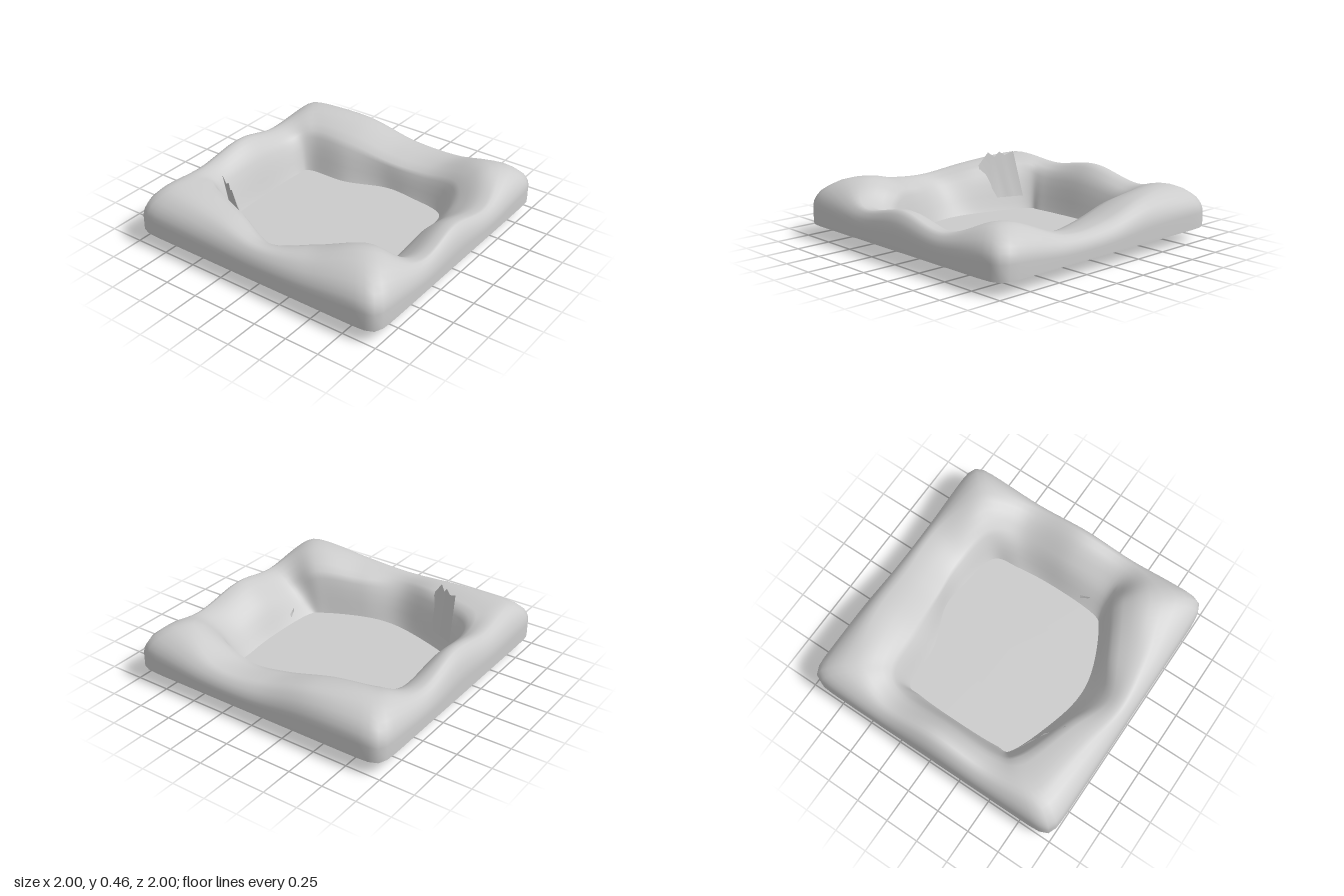
import * as THREE from 'three';

const SEG = 144;
const BASE = 0.094;
const FLOOR = 0.025;
const { lerp } = THREE.MathUtils;

// Sixteen stations round the pit, from +x towards +z:
// [lip x, lip y, lip z, floor x, floor z, crest height, crest place from edge (0) to lip (1)]
const STATIONS = [
  [0.62, 0.22, 0.0, 0.57, 0.0, 0.28, 0.3],
  [0.65, 0.21, 0.28, 0.56, 0.23, 0.272, 0.28],
  [0.59, 0.27, 0.59, 0.50, 0.51, 0.39, 0.55],
  [0.38, 0.20, 0.72, 0.30, 0.56, 0.285, 0.28],
  [0.0, 0.24, 0.72, 0.0, 0.58, 0.35, 0.3],
  [-0.37, 0.21, 0.74, -0.35, 0.56, 0.295, 0.28],
  [-0.49, 0.33, 0.58, -0.45, 0.48, 0.43, 0.6],
  [-0.66, 0.29, 0.28, -0.57, 0.22, 0.35, 0.45],
  [-0.80, 0.27, 0.0, -0.61, 0.0, 0.312, 0.45],
  [-0.69, 0.33, -0.32, -0.57, -0.25, 0.36, 0.5],
  [-0.55, 0.35, -0.69, -0.44, -0.61, 0.39, 0.5],
  [-0.38, 0.30, -0.77, -0.32, -0.65, 0.35, 0.45],
  [0.0, 0.31, -0.77, 0.0, -0.66, 0.40, 0.45],
  [0.38, 0.26, -0.76, 0.32, -0.65, 0.315, 0.4],
  [0.54, 0.31, -0.66, 0.44, -0.61, 0.385, 0.55],
  [0.58, 0.29, -0.36, 0.46, -0.30, 0.37, 0.35],
];

const loop = (pick) => new THREE.CatmullRomCurve3(
  STATIONS.map((s) => new THREE.Vector3(...pick(s))), true, 'catmullrom', 0.5);
const lipCurve = loop((s) => [s[0], s[1], s[2]]);
const floorCurve = loop((s) => [s[3], FLOOR, s[4]]);
const crestCurve = loop((s) => [s[6], s[5], 0]); // x: place, y: height

// Rounded square outline at a given turn
function outline(u) {
  const c = Math.cos(u * 2 * Math.PI), s = Math.sin(u * 2 * Math.PI);
  const n = 22;
  const r = Math.pow(Math.abs(c) ** n + Math.abs(s) ** n, -1 / n);
  return new THREE.Vector3(c * r, BASE, s * r);
}

// Joins rings (ordered from the centre outwards) into one smooth sheet
function sheet(name, rings, material) {
  const pos = [], idx = [];
  rings.forEach((ring) => {
    for (let j = 0; j < SEG; j++) pos.push(...ring(j / SEG).toArray());
  });
  for (let i = 0; i < rings.length - 1; i++) {
    for (let j = 0; j < SEG; j++) {
      const k = (j + 1) % SEG;
      const a = i * SEG + j, b = i * SEG + k;
      idx.push(a, b, a + SEG, b, b + SEG, a + SEG);
    }
  }
  return finish(name, pos, idx, material);
}

// Thin ragged strip between two rows of points
function strip(name, low, high, material) {
  const pos = [...low, ...high].flat(), idx = [], n = low.length;
  for (let i = 0; i < n - 1; i++) idx.push(i, i + 1, n + i, i + 1, n + i + 1, n + i);
  return finish(name, pos, idx, material);
}

function finish(name, pos, idx, material) {
  const g = new THREE.BufferGeometry();
  g.setAttribute('position', new THREE.Float32BufferAttribute(pos, 3));
  g.setIndex(idx);
  g.computeVertexNormals();
  const mesh = new THREE.Mesh(g, material);
  mesh.name = name;
  return mesh;
}

export function createModel() {
  const group = new THREE.Group();
  group.name = 'sunkenPit';
  const mat = new THREE.MeshStandardMaterial({ color: 0xcccccc, side: THREE.DoubleSide });

  // Flat pit floor
  const floorRing = (k) => (u) => {
    const p = floorCurve.getPoint(u);
    return new THREE.Vector3(p.x * k, FLOOR, p.z * k);
  };
  group.add(sheet('pitFloor', [0, 0.5, 1].map(floorRing), mat));

  // Steep pit wall, from the floor up to the lip: [outward share, height share]
  const wallRing = ([t, f]) => (u) => {
    const a = floorCurve.getPoint(u), b = lipCurve.getPoint(u);
    return new THREE.Vector3(lerp(a.x, b.x, t), lerp(a.y, b.y, f), lerp(a.z, b.z, t));
  };
  const wall = [[0, 0], [0.14, 0.14], [0.32, 0.36], [0.54, 0.62], [0.77, 0.84], [1, 1]];

  // Inner slope, from the lip up to the crest: [share of the way, height share]
  const slopeRing = ([t, f]) => (u) => {
    const o = outline(u), b = lipCurve.getPoint(u), c = crestCurve.getPoint(u);
    const k = lerp(1, c.x, t);
    return new THREE.Vector3(lerp(o.x, b.x, k), lerp(b.y, c.y, f), lerp(o.z, b.z, k));
  };
  const slope = [[0.25, 0.4], [0.5, 0.73], [0.75, 0.94]];

  // Rounded outer bank, from the crest down to the edge: [share from edge, height share]
  const bankRing = ([t, f]) => (u) => {
    const o = outline(u), b = lipCurve.getPoint(u), c = crestCurve.getPoint(u);
    const k = c.x * t;
    return new THREE.Vector3(lerp(o.x, b.x, k), lerp(o.y, c.y, f), lerp(o.z, b.z, k));
  };
  const bank = [[1, 1], [0.75, 0.98], [0.5, 0.91], [0.3, 0.8], [0.16, 0.7],
    [0.07, 0.58], [0.02, 0.48], [0, 0.36], [0, 0]];
  group.add(sheet('bank',
    [...wall.map(wallRing), ...slope.map(slopeRing), ...bank.map(bankRing)], mat));

  // Jagged rock face rising out of the wall
  group.add(strip('jaggedRock',
    [[-0.59, 0.12, -0.33], [-0.57, 0.12, -0.39], [-0.54, 0.12, -0.45], [-0.52, 0.12, -0.5],
      [-0.5, 0.12, -0.55], [-0.47, 0.12, -0.61]],
    [[-0.69, 0.36, -0.35], [-0.66, 0.455, -0.42], [-0.63, 0.42, -0.46], [-0.61, 0.46, -0.49],
      [-0.59, 0.43, -0.53], [-0.56, 0.46, -0.59]], mat));

  // Small splinter below the front wall
  group.add(strip('splinter',
    [[-0.35, 0.1, 0.72], [-0.29, 0.0, 0.69], [-0.22, FLOOR, 0.59]],
    [[-0.33, 0.12, 0.66], [-0.28, 0.1, 0.63], [-0.2, 0.08, 0.61]], mat));

  return group;
}
